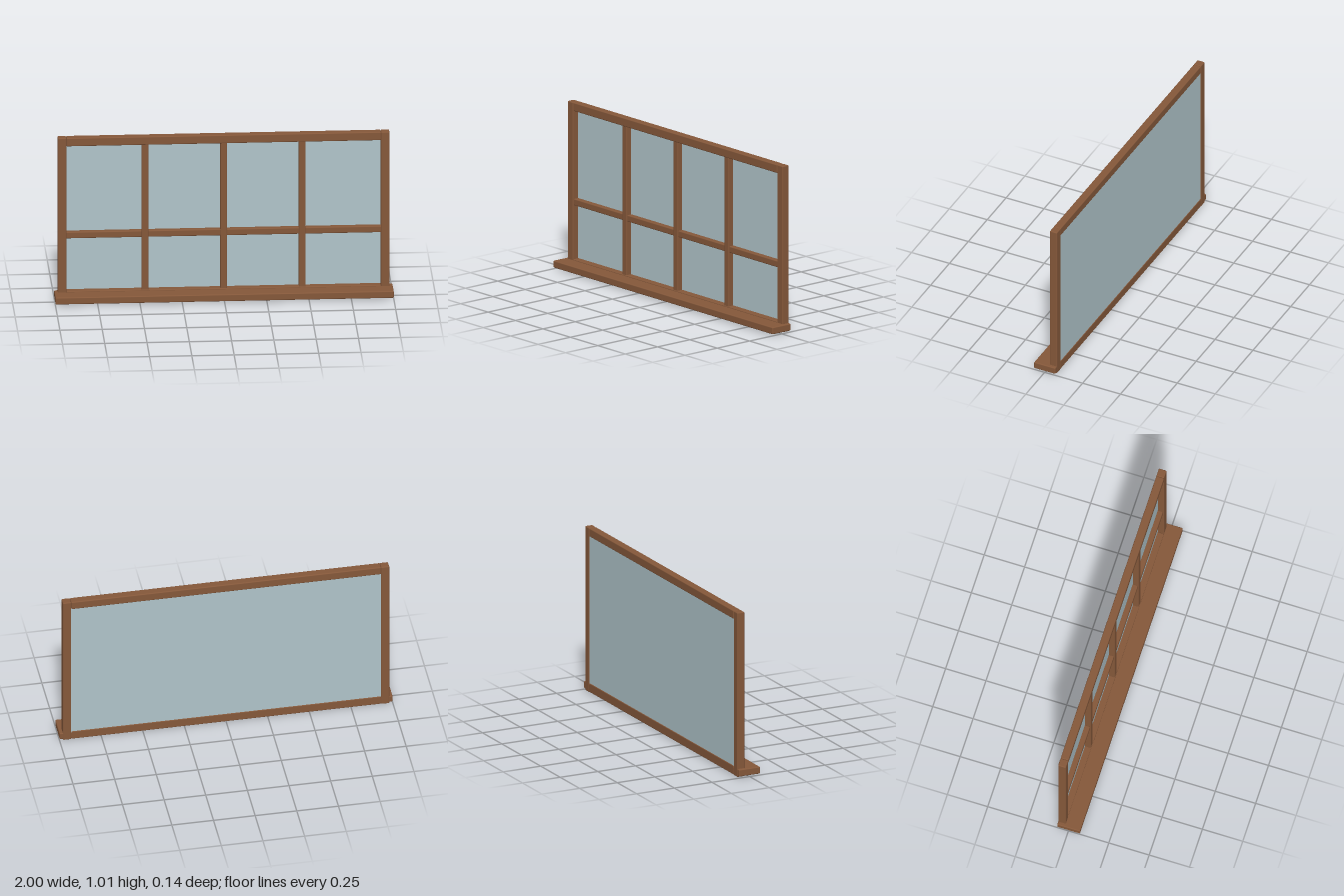
import * as THREE from 'three';
import { RoundedBoxGeometry } from 'three/addons/geometries/RoundedBoxGeometry.js';

const wood = new THREE.MeshStandardMaterial({ name: 'brown wood', color: 0x85583a });
const glass = new THREE.MeshStandardMaterial({ name: 'pale glass', color: 0xb0c4ca });

// Softened timber bar given by its extents on each axis
function bar(name, [x0, x1], [y0, y1], [z0, z1], radius = 0.006) {
  const geometry = new RoundedBoxGeometry(x1 - x0, y1 - y0, z1 - z0, 2, radius);
  const mesh = new THREE.Mesh(geometry, wood);
  mesh.name = name;
  mesh.position.set((x0 + x1) / 2, (y0 + y1) / 2, (z0 + z1) / 2);
  return mesh;
}

export function createModel() {
  const model = new THREE.Group();
  model.name = 'window';
  const depth = [-0.071, -0.023];
  const inner = 0.93, outer = 0.98, top = 1.015;

  // Outer frame
  model.add(
    bar('leftStile', [inner, outer], [0, top], depth),
    bar('rightStile', [-outer, -inner], [0, top], depth),
    bar('topRail', [-inner, inner], [0.963, top], depth),
    bar('bottomRail', [-inner, inner], [0.002, 0.058], depth),
  );

  // Projecting sill
  model.add(bar('sill', [-1, 1], [0.008, 0.051], [-0.07, 0.071]));

  // Upright glazing bars
  const uprights = [-0.465, 0, 0.465];
  for (const x of uprights) {
    model.add(bar('uprightGlazingBar', [x - 0.02, x + 0.02], [0.05, 0.97], [-0.066, -0.026]));
  }

  // Cross bars, one piece per bay
  const stops = [-inner, ...uprights, inner];
  for (let i = 0; i < 4; i++) {
    const x0 = stops[i] + (i > 0 ? 0.018 : -0.003);
    const x1 = stops[i + 1] - (i < 3 ? 0.018 : -0.003);
    model.add(bar('crossGlazingBar', [x0, x1], [0.385, 0.425], [-0.066, -0.03]));
  }

  // Single pane behind the bars, almost flush with the back
  const pane = new THREE.Mesh(new THREE.BoxGeometry(1.87, 0.925, 0.006), glass);
  pane.name = 'pane';
  pane.position.set(0, 0.51, -0.065);
  model.add(pane);

  return model;
}
